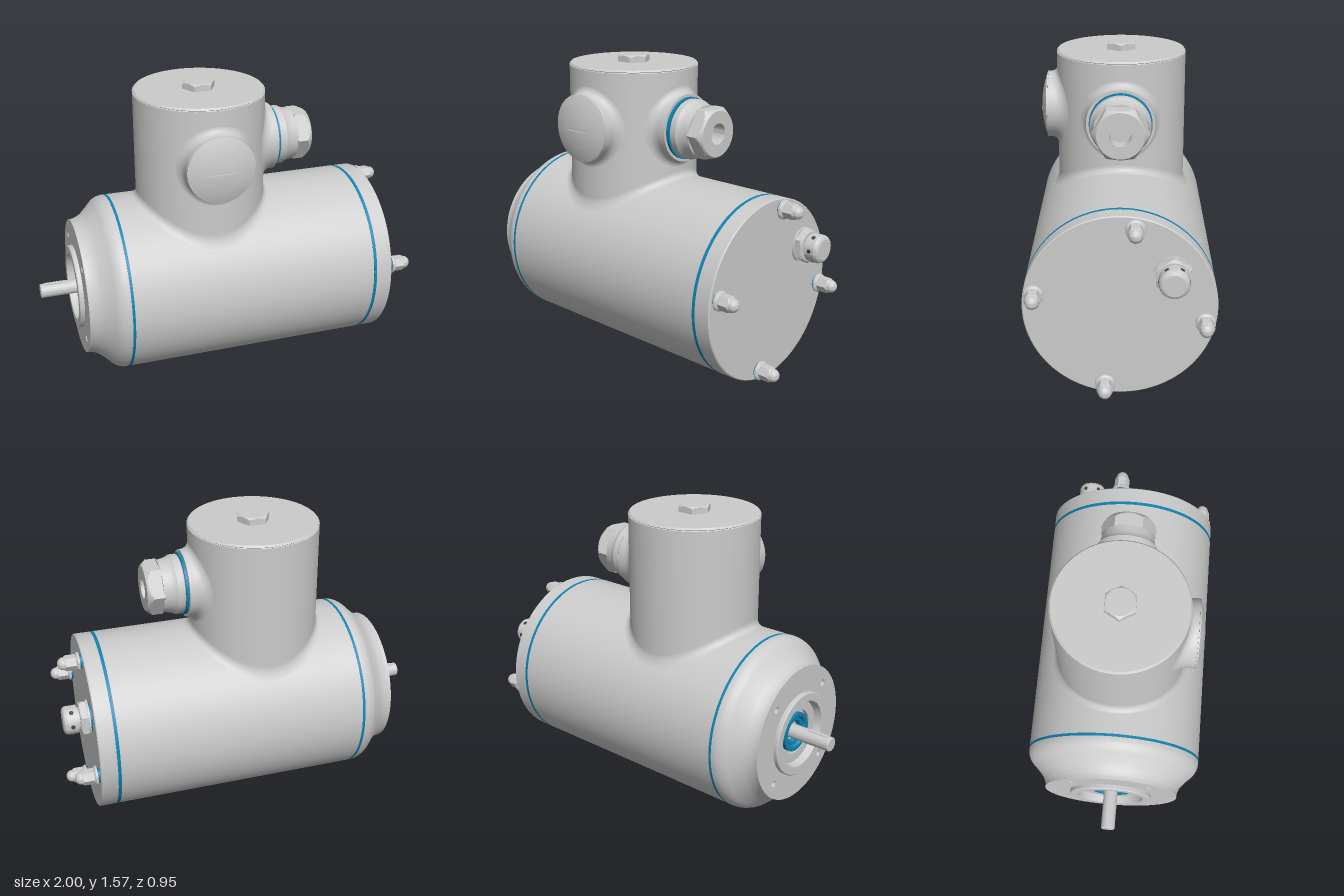
import * as THREE from 'three';
import { toCreasedNormals } from 'three/addons/utils/BufferGeometryUtils.js';
import { ParametricGeometry } from 'three/addons/geometries/ParametricGeometry.js';

const grey = new THREE.MeshStandardMaterial({ color: 0xcccccc });
const blue = new THREE.MeshStandardMaterial({ color: 0x0f83b0 });
const AXIS = 0.48, R = 0.475;          // motor axis height and body radius
const TX = -0.1, TR = 0.345;           // terminal tower centre and radius
const BY = 1.23, BR = 0.178;           // side boss height and radius

const v2 = (pts) => pts.map(([r, h]) => new THREE.Vector2(r, h));

function add(parent, name, geo, mat = grey) {
  const m = new THREE.Mesh(geo, mat);
  m.name = name;
  parent.add(m);
  return m;
}

// Turned part: profile of [radius, height], around +y
const turned = (pts, seg = 64) => toCreasedNormals(new THREE.LatheGeometry(v2(pts), seg), 0.4);

// Turned part cut to a hexagon, which gives true chamfer curves; corners at +-z
function hexTurned(pts, apothem) {
  const g = new THREE.LatheGeometry(v2(pts), 72), p = g.attributes.position;
  for (let i = 0; i < p.count; i++) {
    const x = p.getX(i), z = p.getZ(i), r = Math.hypot(x, z);
    if (r < 1e-6) continue;
    const a = ((Math.atan2(x, z) + Math.PI * 2) % (Math.PI / 3)) - Math.PI / 6;
    const k = Math.min(1, apothem / Math.cos(a) / r);
    p.setX(i, x * k);
    p.setZ(i, z * k);
  }
  return toCreasedNormals(g, 0.4);
}

// Hexagon head: corner radius c, from y0 to y1, chamfered by ch, optional round hole
function hexHead(c, y0, y1, ch = 0.015, hole = 0) {
  const ap = c * 0.866, pts = [[hole, y0], [c, y0]];
  for (let i = 0; i <= 4; i++) pts.push([c + (ap * 0.95 - c) * i / 4, y1 - ch + ch * i / 4]);
  pts.push([hole, y1]);
  if (hole) pts.push([hole, y0]);
  return hexTurned(pts, ap);
}

// Fillet where a pipe of radius r along +y leaves a host cylinder along x
function saddle(r, host, f) {
  const h = (q, s) => Math.sqrt(host * host - (q * s) ** 2);
  return new ParametricGeometry((u, v, t) => {
    const a = u * Math.PI * 2, s = Math.sin(a);
    const y0 = h(r, s) + f, y1 = h(r, s), y2 = h(r + f, s) - 0.001;
    const w0 = (1 - v) ** 2, w1 = 2 * v * (1 - v), w2 = v * v;
    const q = r + f * w2;
    t.set(q * Math.cos(a), w0 * y0 + w1 * y1 + w2 * y2, q * s);
  }, 96, 10);
}

// Group whose local +y points along the motor's +x
function alongX(parent, name, x, y, z) {
  const g = new THREE.Group();
  g.name = name;
  g.position.set(x, y, z);
  g.rotation.z = -Math.PI / 2;
  parent.add(g);
  return g;
}

function buildMotor(root) {
  const motor = alongX(root, 'motor', 0, AXIS, 0);
  add(motor, 'housing', turned([[0, -0.585], [R, -0.585], [R, 0.75], [0, 0.75]], 128));
  add(motor, 'rearCover', turned([[0, 0.765], [R, 0.765], [R, 0.85], [R - 0.005, 0.855], [0, 0.855]], 128));
  for (const [a, b] of [[-0.598, -0.584], [0.749, 0.766]])
    add(motor, 'housingSeal', turned([[R - 0.02, a], [R + 0.001, a], [R + 0.001, b], [R - 0.02, b]], 128), blue);

  // S-shaped front bell
  const s = new THREE.SplineCurve(v2([[0.365, -0.8], [0.368, -0.772], [0.385, -0.735], [0.42, -0.695],
    [0.455, -0.66], [0.471, -0.63], [R, -0.605]])).getPoints(28);
  add(motor, 'frontBell', turned([...s.map((p) => [p.x, p.y]), [R, -0.597]], 128));

  // Front flange plate with screw holes
  const plate = new THREE.Shape().absarc(0, 0, 0.365, 0, Math.PI * 2);
  const hole = (x, y, r) => plate.holes.push(new THREE.Path().absarc(x, y, r, 0, Math.PI * 2, true));
  hole(0, 0, 0.2);
  for (const x of [-0.21, 0.21]) for (const y of [-0.21, 0.21]) hole(x, y, 0.018);
  const pg = new THREE.ExtrudeGeometry(plate, { depth: 0.05, bevelEnabled: false, curveSegments: 48 });
  add(motor, 'flangePlate', pg.rotateX(-Math.PI / 2).translate(0, -0.8, 0));
  add(motor, 'flangeBacking', turned([[0.19, -0.752], [0.364, -0.752], [0.364, -0.74]])).material =
    new THREE.MeshStandardMaterial({ color: 0xcccccc, side: THREE.DoubleSide });

  // Pilot ring with stepped recess, shaft seal and shaft
  add(motor, 'pilotRing', turned([[0, -0.75], [0.075, -0.75], [0.075, -0.765], [0.12, -0.765], [0.12, -0.785],
    [0.17, -0.785], [0.18, -0.825], [0.22, -0.825], [0.225, -0.82], [0.225, -0.795]], 96));
  add(motor, 'shaftSeal', turned([[0.05, -0.755], [0.06, -0.775], [0.075, -0.775], [0.085, -0.79],
    [0.105, -0.79], [0.105, -0.76]]), blue);
  add(motor, 'shaft', turned([[0, -1], [0.034, -1], [0.038, -0.996], [0.038, -0.74]], 40));
  const key = new THREE.Shape();
  key.absarc(0.05, 0, 0.012, -Math.PI / 2, Math.PI / 2);
  key.absarc(-0.05, 0, 0.012, Math.PI / 2, Math.PI * 1.5);
  const kg = new THREE.ExtrudeGeometry(key, { depth: 0.03, bevelEnabled: false });
  add(root, 'shaftKey', kg.rotateX(-Math.PI / 2).translate(-0.92, AXIS + 0.0095, 0));
}

// Cap nuts and vent valve on the rear cover
function buildRearFittings(root) {
  for (let i = 0; i < 4; i++) {
    const a = Math.PI / 2 * i + 0.175;
    const n = alongX(root, 'capNut', 0.855, AXIS + 0.421 * Math.cos(a), -0.421 * Math.sin(a));
    n.rotation.x = 0;
    add(n, 'nutSeal', turned([[0, 0], [0.038, 0], [0.038, 0.014], [0, 0.014]], 32), blue);
    add(n, 'nutWasher', turned([[0, 0.012], [0.05, 0.012], [0.05, 0.022], [0.04, 0.03], [0, 0.03]], 32));
    add(n, 'nutHex', hexHead(0.042, 0.028, 0.092, 0.012));
    const dome = [[0.034, 0.08]];
    for (let k = 0; k <= 8; k++) {
      const b = Math.PI / 2 * k / 8;
      dome.push([0.034 * Math.cos(b), 0.093 + 0.034 * Math.sin(b)]);
    }
    add(n, 'nutDome', turned(dome, 32));
  }
  const v = alongX(root, 'ventValve', 0.855, 0.665, -0.255);
  add(v, 'ventSeal', turned([[0, 0], [0.075, 0], [0.075, 0.012], [0, 0.012]], 40), blue);
  add(v, 'ventFlange', turned([[0, 0.01], [0.092, 0.01], [0.092, 0.02], [0, 0.02]], 40));
  add(v, 'ventHex', hexHead(0.095, 0.018, 0.06, 0.01)).rotation.y = Math.PI / 6;
  add(v, 'ventCap', turned([[0, 0.058], [0.06, 0.058], [0.06, 0.07], [0.074, 0.07], [0.074, 0.125],
    [0.068, 0.138], [0.055, 0.145], [0, 0.145]], 48));
  // Breather ports round the cap
  const dark = new THREE.MeshStandardMaterial({ color: 0x444444 });
  for (let i = 0; i < 6; i++) {
    const a = Math.PI / 3 * i, p = new THREE.CylinderGeometry(0.011, 0.011, 0.006, 16);
    add(v, 'ventPort', p.rotateX(Math.PI / 2).translate(0, 0.1, 0.0725).rotateY(a), dark);
  }
}

function buildTower(root) {
  const t = new THREE.Group();
  t.name = 'terminalTower';
  t.position.x = TX;
  root.add(t);
  add(t, 'towerBody', turned([[TR, 0.75], [TR, 1.525], [TR - 0.003, 1.528], [TR, 1.531],
    [TR - 0.008, 1.54], [0, 1.54]], 96));
  add(t, 'towerFillet', saddle(TR, R, 0.04)).position.y = AXIS;
  add(t, 'topPlug', hexHead(0.088, 1.535, 1.577, 0.01)).rotation.y = Math.PI / 6;

  // Side bosses, blended into the tower, facing front and left
  const X = new THREE.Vector3(1, 0, 0), Y = new THREE.Vector3(0, 1, 0), Z = new THREE.Vector3(0, 0, 1);
  for (const basis of [[Y, Z, X], [Y, X, Z.clone().negate()]]) {
    const b = new THREE.Group();
    b.name = 'boss';
    b.quaternion.setFromRotationMatrix(new THREE.Matrix4().makeBasis(...basis));
    b.position.y = BY;
    t.add(b);
    add(b, 'bossBody', turned([[BR, 0.25], [BR, 0.389], [0, 0.389]]));
    add(b, 'bossFillet', saddle(BR, TR, 0.044));
  }

  // Domed blanking plug with a screwdriver slot
  const plug = new THREE.Group();
  plug.name = 'blankingPlug';
  plug.position.set(0, BY, 0.392);
  t.add(plug);
  const dome = (r) => 0.005 + 0.033 * (1 - (r / BR) ** 2);
  const inner = 0.095, floor = dome(inner), h = 0.011;
  const pts = [[0, -0.002], [BR - 0.004, -0.002], [BR - 0.004, 0], [BR, 0]];
  for (let i = 0; i <= 8; i++) { const r = BR + (inner - BR) * i / 8; pts.push([r, dome(r)]); }
  add(plug, 'plugRim', turned([...pts, [0, floor]]).rotateX(Math.PI / 2));
  const half = Math.sqrt(inner * inner - h * h);
  for (const turn of [0, Math.PI]) {
    const crown = add(plug, 'plugCrown', new ParametricGeometry((u, v, p) => {
      const x = (u * 2 - 1) * half;
      const y = h + v * (Math.sqrt(Math.max(inner * inner - x * x, h * h)) - h);
      p.set(x, y, dome(Math.hypot(x, y)));
    }, 32, 8));
    const wall = add(plug, 'slotWall', new ParametricGeometry((u, v, p) => {
      const x = (u * 2 - 1) * half;
      p.set(x, h, floor + v * (dome(Math.hypot(x, h)) - floor));
    }, 32, 1));
    crown.rotation.z = wall.rotation.z = turn;
  }

  // Cable gland
  const g = alongX(t, 'cableGland', -TX, BY, 0);
  add(g, 'glandSeal', turned([[0, 0.288], [0.163, 0.288], [0.163, 0.304], [0, 0.304]]), blue);
  add(g, 'glandBody', turned([[0.055, 0.303], [0.15, 0.303], [0.157, 0.31], [0.157, 0.345], [0.15, 0.355],
    [0.143, 0.375], [0.14, 0.395], [0.137, 0.415], [0.055, 0.415]]));
  add(g, 'glandNut', hexHead(0.145, 0.41, 0.498, 0.03, 0.055));
  add(g, 'glandBore', turned([[0, 0.42], [0.056, 0.42]], 40)).material =
    new THREE.MeshStandardMaterial({ color: 0xcccccc, side: THREE.DoubleSide });
}

export function createModel() {
  const root = new THREE.Group();
  root.name = 'electricMotor';
  buildMotor(root);
  buildRearFittings(root);
  buildTower(root);
  return root;
}
